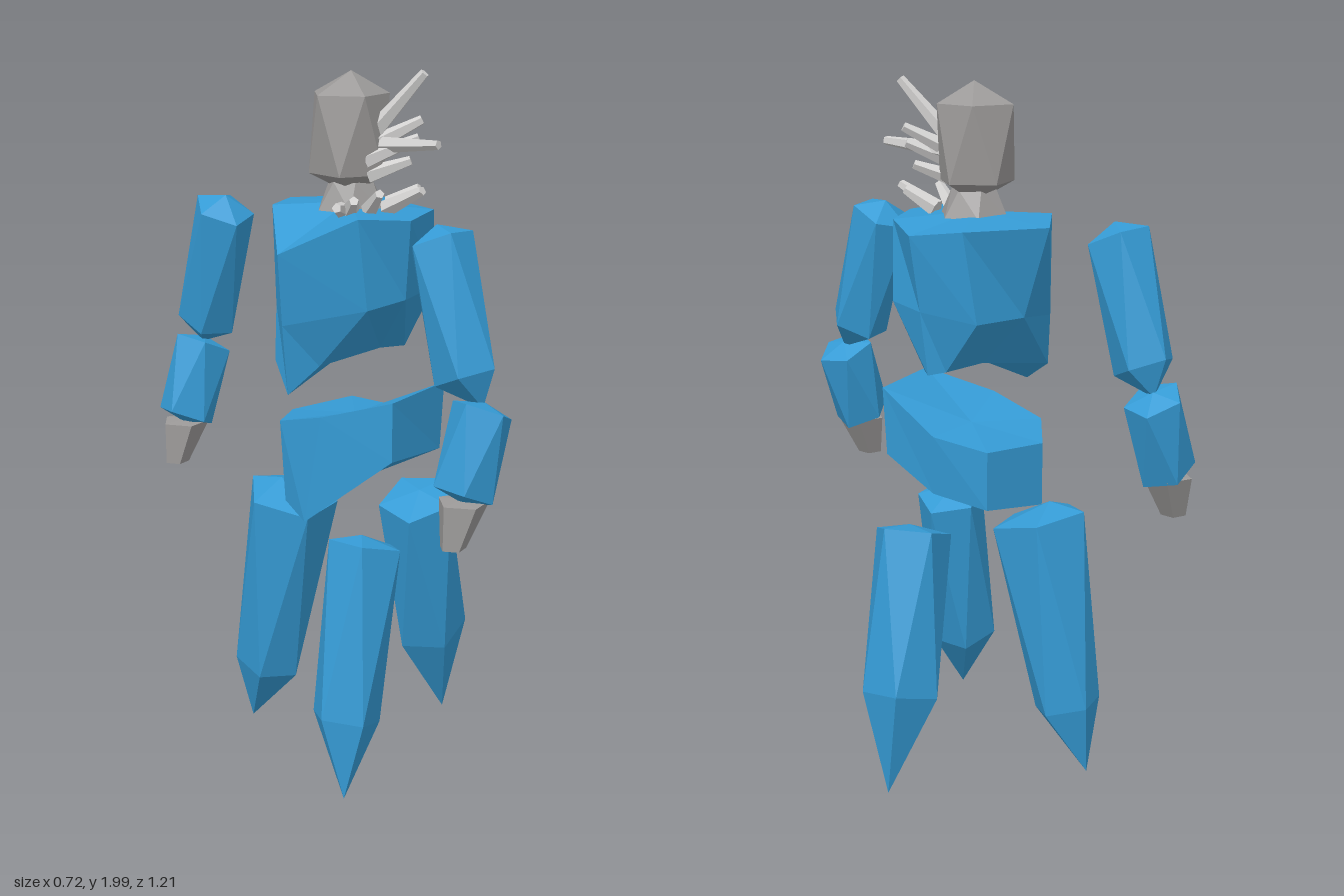
import * as THREE from 'three';

const paint = (name, color) => {
  const m = new THREE.MeshStandardMaterial({ color, flatShading: true });
  m.name = name;
  return m;
};

// Skin a stack of equal-length rings (top to bottom) and close both ends to a point.
function loft(rings, topPoint, bottomPoint) {
  const pos = [];
  const tri = (a, b, c) => pos.push(...a, ...b, ...c);
  const n = rings[0].length;
  for (let i = 0; i < n; i++) {
    const j = (i + 1) % n;
    tri(topPoint, rings[0][j], rings[0][i]);
    for (let r = 0; r < rings.length - 1; r++) {
      const a = rings[r], b = rings[r + 1];
      tri(a[i], a[j], b[i]);
      tri(a[j], b[j], b[i]);
    }
    const last = rings[rings.length - 1];
    tri(bottomPoint, last[i], last[j]);
  }
  const g = new THREE.BufferGeometry();
  g.setAttribute('position', new THREE.Float32BufferAttribute(pos, 3));
  g.computeVertexNormals();
  return g;
}

// Ring of points around a centre; slopeX and slopeZ tilt it
function ring([x, y, z], radius, sides, turn, slopeX = 0, slopeZ = 0) {
  return Array.from({ length: sides }, (_, i) => {
    const a = turn + (i / sides) * Math.PI * 2;
    const dx = Math.cos(a) * radius, dz = Math.sin(a) * radius;
    return [x + dx, y + dx * slopeX + dz * slopeZ, z + dz];
  });
}

// Pointed five-sided crystal: rings lean with its axis, the lower turned half a step
function crystal(top, upper, ru, lower, rl, tip, turn) {
  const drop = (upper[1] - lower[1]) / 1.4;
  const sx = (lower[0] - upper[0]) / drop, sz = (lower[2] - upper[2]) / drop;
  return loft([ring(upper, ru, 5, turn, sx, sz), ring(lower, rl, 5, turn + Math.PI / 5, sx, sz)], top, tip);
}

export function createModel() {
  const model = new THREE.Group();
  const blue = paint('blue crystal', 0x359bd5);
  const gray = paint('gray stone', 0x9c9a99);
  const pale = paint('pale stone', 0xd2d1d0);
  const add = (name, geometry, material) => {
    const mesh = new THREE.Mesh(geometry, material);
    mesh.name = name;
    model.add(mesh);
    return mesh;
  };

  // Head and neck
  add('head', crystal([-0.05, 1.99, 0.01], [-0.053, 1.93, 0.005], 0.109, [-0.053, 1.72, 0.005], 0.109,
    [-0.05, 1.66, 0.01], Math.PI), gray);
  add('neck', loft([ring([-0.05, 1.7, 0.01], 0.062, 6, 0), ring([-0.05, 1.625, 0.01], 0.1, 6, 0.2)],
    [-0.05, 1.7, 0.01], [-0.05, 1.62, 0.01]), gray);

  // Face and collar spikes: base, tip
  const spikes = [
    [[-0.02, 1.84, 0.08], [0.04, 1.99, 0.2]],
    [[-0.02, 1.8, 0.08], [0.012, 1.815, 0.285]],
    [[-0.03, 1.8, 0.08], [0.065, 1.865, 0.165]],
    [[-0.06, 1.76, 0.08], [0.045, 1.82, 0.175]],
    [[-0.05, 1.72, 0.08], [0.03, 1.76, 0.16]],
    [[-0.12, 1.63, 0.06], [-0.185, 1.65, 0.11]],
    [[-0.12, 1.635, 0.09], [-0.155, 1.67, 0.145]],
    [[-0.08, 1.635, 0.12], [-0.11, 1.69, 0.195]],
    [[-0.03, 1.635, 0.13], [-0.01, 1.695, 0.25]],
    [[0, 1.64, 0.11], [0.04, 1.69, 0.185]],
  ];
  const up = new THREE.Vector3(0, 1, 0);
  for (const [from, to] of spikes) {
    const a = new THREE.Vector3(...from), b = new THREE.Vector3(...to);
    const spike = add('spike', new THREE.CylinderGeometry(0.013, 0.025, a.distanceTo(b), 5), pale);
    spike.position.lerpVectors(a, b, 0.5);
    spike.quaternion.setFromUnitVectors(up, b.clone().sub(a).normalize());
  }

  // Chest: wide shoulders narrowing to a low keel
  add('chest', loft([
    [[0.21, 1.6, 0.01], [0.12, 1.62, 0.155], [-0.05, 1.62, 0.25], [-0.18, 1.63, 0.19],
      [-0.313, 1.53, 0.02], [-0.2, 1.63, -0.145], [-0.045, 1.62, -0.262], [0.165, 1.62, -0.14]],
    [[0.175, 1.39, 0.005], [0.15, 1.4, 0.13], [-0.03, 1.4, 0.21], [-0.14, 1.38, 0.18],
      [-0.285, 1.33, 0], [-0.18, 1.35, -0.16], [-0.03, 1.37, -0.19], [0.13, 1.37, -0.16]],
    [[0.15, 1.21, 0], [0.13, 1.215, 0.03], [0.02, 1.23, 0.05], [-0.19, 1.21, 0.04],
      [-0.257, 1.13, -0.015], [-0.21, 1.2, -0.13], [0, 1.23, -0.07], [0.12, 1.22, -0.04]],
  ], [-0.05, 1.64, 0], [-0.03, 1.23, -0.01]), blue);

  // Pelvis: a bent belt dipping at one side
  add('pelvis', loft([
    [[0.13, 1.03, 0], [0.135, 1.14, 0.19], [-0.12, 1.14, 0.26], [-0.22, 1.08, 0.08],
      [-0.22, 1.03, -0.1], [-0.08, 1.01, -0.22], [0.12, 1.02, -0.19]],
    [[0.12, 0.86, 0.01], [0.13, 0.945, 0.18], [-0.12, 0.975, 0.26], [-0.24, 0.77, 0.03],
      [-0.22, 0.8, -0.08], [-0.08, 0.83, -0.22], [0.12, 0.855, -0.19]],
  ], [-0.03, 1.04, 0], [-0.06, 0.84, 0.01]), blue);

  // Three legs: top, upper ring, lower ring, tip
  const legs = [
    ['leftLeg', [0.175, 0.775, 0.05], [0.165, 0.752, 0.05], 0.112, [0.268, 0.3, 0], 0.111, [0.327, 0.012, 0], 0],
    ['rightLeg', [-0.185, 0.77, 0.21], [-0.17, 0.74, 0.21], 0.102, [-0.27, 0.26, 0.24], 0.097, [-0.32, 0.05, 0.292], 1.12],
    ['backLeg', [-0.14, 0.82, -0.2], [-0.125, 0.77, -0.175], 0.135, [-0.142, 0.21, -0.275], 0.098, [-0.157, 0.01, -0.34], Math.PI],
  ];
  for (const [name, ...shape] of legs) add(name, crystal(...shape), blue);

  // Arms: the second is the first mirrored front to back and shifted toward -x
  const arms = [['front', 1, 0, 0], ['back', -1, -0.13, 0.01]];
  for (const [side, s, shiftX, shiftZ] of arms) {
    const at = (x, y, z) => [x + shiftX, y, z * s + shiftZ];
    add(side + 'UpperArm', crystal(at(-0.07, 1.63, 0.37), at(-0.07, 1.59, 0.38), 0.085,
      at(-0.065, 1.25, 0.485), 0.083, at(-0.05, 1.175, 0.53), 4.5 * s - (s < 0 ? Math.PI / 5 * 2 : 0)), blue);
    add(side + 'Forearm', crystal(at(-0.045, 1.19, 0.53), at(-0.05, 1.17, 0.53), 0.08,
      at(-0.118, 0.955, 0.53), 0.08, at(-0.122, 0.935, 0.535), 0.4 * s), blue);
    add(side + 'Hand', loft([
      ring(at(-0.12, 0.94, 0.535), 0.07, 5, 0.6 * s),
      ring(at(-0.155, 0.82, 0.535), 0.036, 5, 0.6 * s),
    ], at(-0.12, 0.945, 0.535), at(-0.155, 0.815, 0.535)), gray);
  }
  return model;
}
